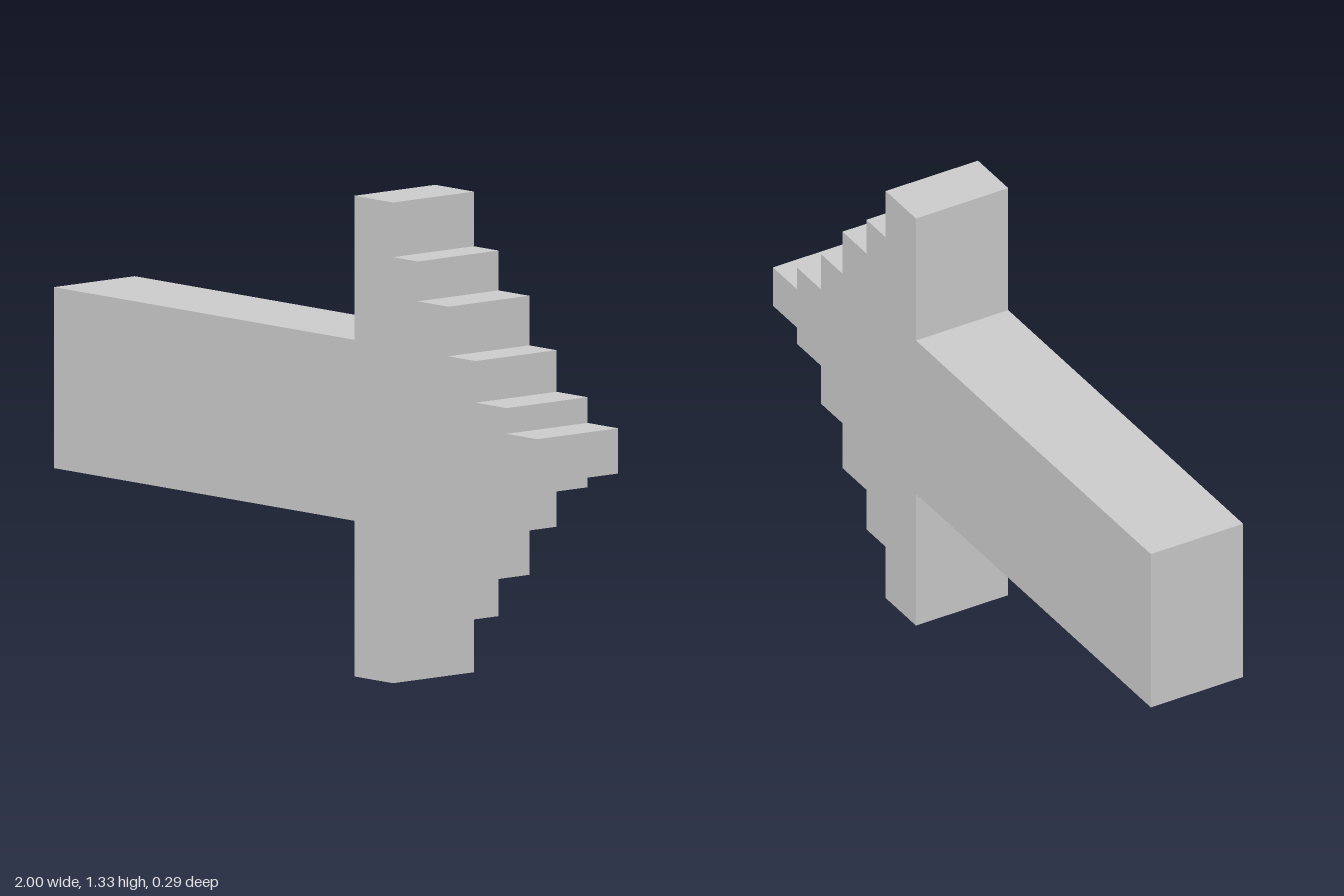
import * as THREE from 'three';

const DEPTH = 0.294;

export function createModel() {
  const group = new THREE.Group();
  const material = new THREE.MeshStandardMaterial({ color: 0xcccccc, flatShading: true });

  // Straight shaft of the arrow
  const shaft = new THREE.Mesh(new THREE.BoxGeometry(1.243, 0.5, DEPTH), material);
  shaft.name = 'shaft';
  shaft.position.set(-0.3785, 0.68, 0);
  group.add(shaft);

  // Stepped head: each step is [right edge x, bottom y, top y]
  const backX = 0.243;
  const steps = [
    [0.403, 0, 1.328],
    [0.505, 0.167, 1.177],
    [0.632, 0.296, 1.067],
    [0.745, 0.442, 0.93],
    [0.873, 0.566, 0.815],
    [1, 0.619, 0.744],
  ];
  const lower = [];
  const upper = [];
  let x = backX;
  for (const [right, bottom, top] of steps) {
    lower.push(new THREE.Vector2(x, bottom), new THREE.Vector2(right, bottom));
    upper.push(new THREE.Vector2(x, top), new THREE.Vector2(right, top));
    x = right;
  }
  const outline = new THREE.Shape([...lower, ...upper.reverse()]);
  const headGeometry = new THREE.ExtrudeGeometry(outline, { depth: DEPTH, bevelEnabled: false });
  headGeometry.translate(0, 0, -DEPTH / 2);
  const head = new THREE.Mesh(headGeometry, material);
  head.name = 'steppedArrowHead';
  group.add(head);

  return group;
}
